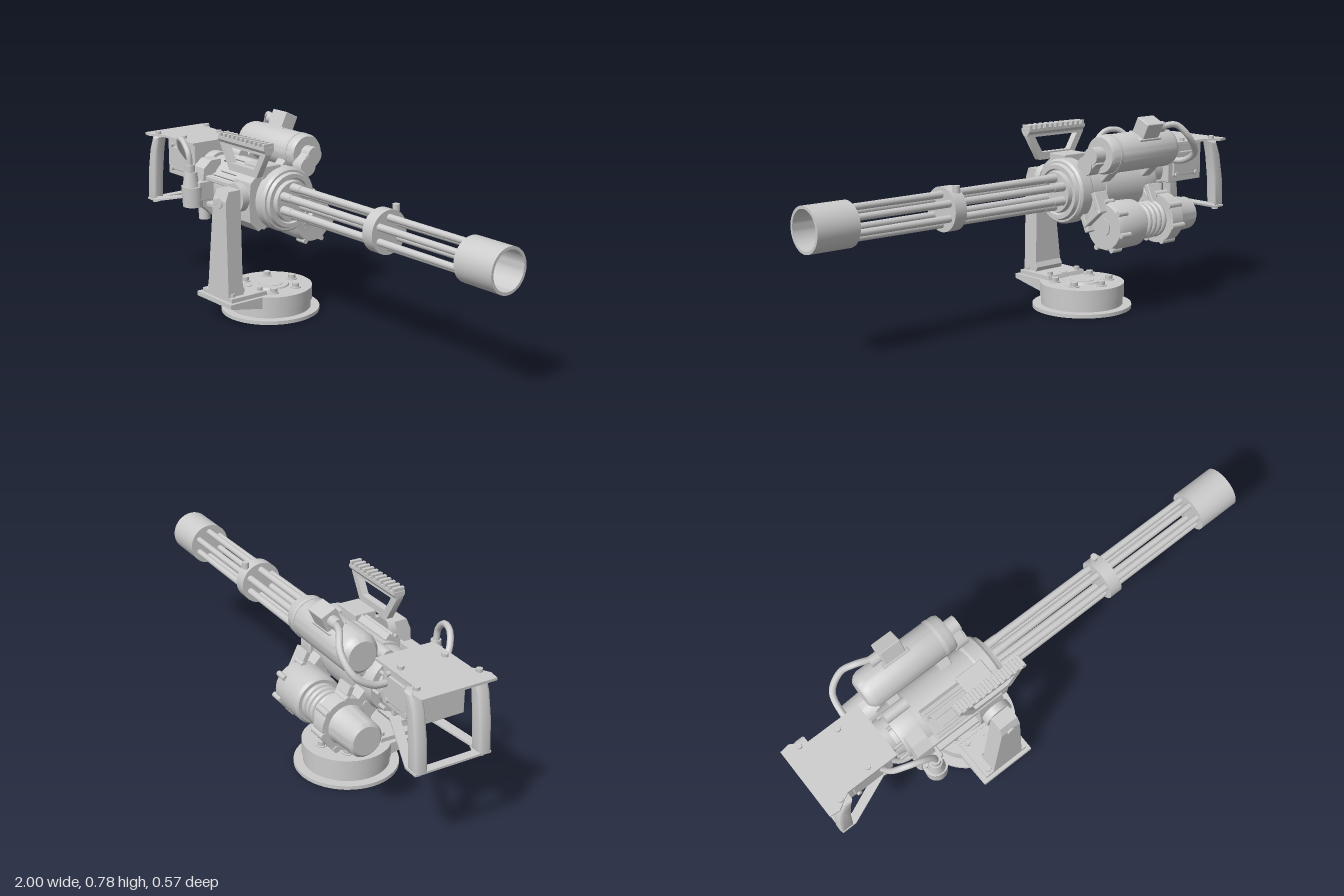
import * as THREE from 'three';
import { toCreasedNormals } from 'three/addons/utils/BufferGeometryUtils.js';
import { RoundedBoxGeometry } from 'three/addons/geometries/RoundedBoxGeometry.js';

const mat = new THREE.MeshStandardMaterial({ color: 0xcccccc, side: THREE.DoubleSide });
const AY = 0.489, AZ = 0.004; // barrel axis
const MX = -0.31; // pedestal centre

export function createModel() {
  const root = new THREE.Group();
  const group = (name) => {
    const g = new THREE.Group();
    g.name = name;
    root.add(g);
    return g;
  };
  const add = (parent, name, geo, x = 0, y = 0, z = 0) => {
    const m = new THREE.Mesh(geo, mat);
    m.name = name;
    m.position.set(x, y, z);
    parent.add(m);
    return m;
  };
  const box = (p, name, w, h, d, x, y, z, r = 0.004) =>
    add(p, name, new RoundedBoxGeometry(w, h, d, 1, r), x, y, z);
  // cylinder along x from x0 to x1
  const cylX = (p, name, r0, r1, x0, x1, y, z, seg = 40) =>
    add(p, name, new THREE.CylinderGeometry(r1, r0, x1 - x0, seg).rotateZ(-Math.PI / 2), (x0 + x1) / 2, y, z);
  const cylY = (p, name, r0, r1, y0, y1, x, z, seg = 40) =>
    add(p, name, new THREE.CylinderGeometry(r1, r0, y1 - y0, seg), x, (y0 + y1) / 2, z);
  const cylZ = (p, name, r, z0, z1, x, y, seg = 32) =>
    add(p, name, new THREE.CylinderGeometry(r, r, z1 - z0, seg).rotateX(Math.PI / 2), x, y, (z0 + z1) / 2);
  // lathe of [x, radius] points around an x axis
  const latheX = (p, name, pts, y, z) =>
    add(p, name, toCreasedNormals(new THREE.LatheGeometry(pts.map(([x, r]) => new THREE.Vector2(r, x)), 48).rotateZ(-Math.PI / 2), 0.6), 0, y, z);
  const shape = (pts) => new THREE.Shape(pts.map(([a, b]) => new THREE.Vector2(a, b)));
  const extrude = (s, depth, bevel = 0) => toCreasedNormals(new THREE.ExtrudeGeometry(s, {
    depth, curveSegments: 16, bevelEnabled: bevel > 0, bevelSize: bevel, bevelThickness: bevel, bevelOffset: -bevel, bevelSegments: 3,
  }), 0.6);
  // [z, y] profile extruded from x0 to x1
  const slabX = (p, name, pts, x0, x1) =>
    add(p, name, extrude(shape(pts.map(([z, y]) => [-z, y])), x1 - x0).rotateY(Math.PI / 2), x0);
  const tube = (p, name, pts, r) =>
    add(p, name, new THREE.TubeGeometry(new THREE.CatmullRomCurve3(pts.map((q) => new THREE.Vector3(...q))), 40, r, 10));
  const ring = (n, r, fn, start = 0) => {
    for (let i = 0; i < n; i++) {
      const a = start + (i / n) * Math.PI * 2;
      fn(Math.cos(a) * r, Math.sin(a) * r, a);
    }
  };

  // Pedestal
  const base = group('pedestal');
  cylY(base, 'baseDisc', 0.202, 0.202, 0, 0.015, MX, 0.005, 64);
  cylY(base, 'baseDrum', 0.166, 0.166, 0.015, 0.05, MX, 0.005, 64);
  cylY(base, 'turntable', 0.172, 0.172, 0.05, 0.105, MX, 0.005, 64);
  cylY(base, 'turntableHub', 0.078, 0.075, 0.105, 0.112, MX, 0.005);
  cylY(base, 'turntableCap', 0.05, 0.05, 0.112, 0.114, MX, 0.005);
  ring(6, 0.112, (x, z) => {
    cylY(base, 'boltWasher', 0.022, 0.022, 0.105, 0.109, MX + x, 0.005 + z, 20);
    cylY(base, 'bolt', 0.016, 0.016, 0.109, 0.125, MX + x, 0.005 + z, 6);
  }, Math.PI / 6);
  slabX(base, 'footBracket', [[0.285, 0.105], [0.285, 0.086], [0.125, 0.056], [0.05, 0.056], [0.05, 0.105]], -0.43, -0.195);

  // Support arm, narrowing toward the top
  const arm = group('supportArm');
  slabX(arm, 'armFlange', [[0.27, 0.105], [0.27, 0.122], [0.1, 0.122], [0.095, 0.105]], -0.41, -0.21);
  for (const x of [-0.385, -0.235]) for (const z of [0.25, 0.115]) cylY(arm, 'flangeBolt', 0.012, 0.012, 0.12, 0.136, x, z, 6);
  const armGeo = extrude(shape([[-0.2, 0.12], [-0.19, 0.14], [-0.2, 0.16], [-0.2, 0.55], [-0.255, 0.55], [-0.27, 0.51], [-0.27, 0.12]]), 2)
    .rotateY(Math.PI / 2);
  const ap = armGeo.attributes.position;
  for (let i = 0; i < ap.count; i++) {
    const t = (ap.getY(i) - 0.12) / 0.43;
    ap.setX(i, -0.303 + 0.023 * t + (ap.getX(i) - 1) * (0.071 - 0.031 * t));
  }
  armGeo.computeVertexNormals();
  add(arm, 'armColumn', armGeo);
  cylZ(arm, 'pivotDisc', 0.058, 0.17, 0.2, -0.28, 0.51);
  cylZ(arm, 'pivotPin', 0.022, 0.268, 0.276, -0.28, 0.5, 6);

  // Receiver
  const body = group('receiver');
  latheX(body, 'receiverBody', [[-0.66, 0], [-0.66, 0.075], [-0.63, 0.08], [-0.63, 0.105], [-0.6, 0.112], [-0.54, 0.112], [-0.54, 0.118],
    [-0.33, 0.118], [-0.33, 0.112], [-0.24, 0.112], [-0.24, 0]], AY, AZ);
  latheX(body, 'frontCollar', [[-0.25, 0], [-0.25, 0.122], [-0.24, 0.13], [-0.19, 0.13], [-0.18, 0.122], [-0.18, 0.114], [-0.165, 0.108],
    [-0.165, 0.092], [-0.175, 0.088], [-0.175, 0]], AY, AZ);
  for (const [x0, x1] of [[-0.34, -0.23], [-0.62, -0.55]])
    slabX(body, 'sideBracket', [[0.07, 0.6], [0.12, 0.6], [0.155, 0.57], [0.165, 0.5], [0.16, 0.41], [0.12, 0.37], [0.07, 0.39]], x0, x1);
  for (const y of [0.42, 0.53]) box(body, 'sideRail', 0.36, 0.02, 0.04, -0.43, y, 0.128);
  const panel = new THREE.Group();
  panel.name = 'feedCover';
  panel.position.set(-0.42, AY, AZ);
  panel.rotation.x = 0.75;
  body.add(panel);
  box(panel, 'coverPlate', 0.2, 0.03, 0.13, 0, 0.115, 0);
  box(panel, 'coverRib', 0.13, 0.012, 0.04, 0, 0.133, 0.01);
  for (const z of [-0.045, 0.05]) box(panel, 'coverEdge', 0.19, 0.012, 0.012, 0, 0.133, z);
  for (const x of [-0.085, 0.085]) cylY(panel, 'coverBolt', 0.009, 0.009, 0.125, 0.142, x, -0.025, 6);
  box(body, 'topBlock', 0.12, 0.05, 0.09, -0.28, 0.605, 0.06);
  cylX(body, 'rearTopPod', 0.024, 0.024, -0.63, -0.53, 0.605, -0.03, 20);
  ring(8, 0.1, (y, z) => cylX(body, 'collarBolt', 0.008, 0.008, -0.665, -0.62, AY + y * 0.92, AZ + z * 0.92, 6));

  // Rotating barrel cluster
  const barrels = group('barrelCluster');
  cylX(barrels, 'barrelHub', 0.084, 0.08, -0.18, -0.155, AY, AZ);
  ring(6, 0.056, (y, z) => {
    cylX(barrels, 'barrelRear', 0.018, 0.017, -0.16, -0.1, AY + y, AZ + z, 20);
    cylX(barrels, 'barrel', 0.0155, 0.0125, -0.1, 0.85, AY + y, AZ + z, 20);
    cylX(barrels, 'barrelNut', 0.0145, 0.0145, 0.845, 0.865, AY + y, AZ + z, 6);
  });
  const disc = (name, x0, x1, r) => cylX(barrels, name, r, r, x0, x1, AY, AZ, 48);
  disc('clampRing', 0.357, 0.41, 0.085);
  cylY(barrels, 'clampStud', 0.014, 0.014, 0.555, 0.582, 0.383, -0.052, 12);
  latheX(barrels, 'muzzleShroud', [[0.825, 0], [0.825, 0.085], [1, 0.085], [1, 0.074], [0.85, 0.074], [0.85, 0]], AY, AZ);

  // Accessory rail on an open trapezoid frame
  const rail = group('accessoryRail');
  const frame = shape([[-0.43, 0.715], [-0.43, 0.7], [-0.37, 0.6], [-0.19, 0.6], [-0.13, 0.7], [-0.13, 0.715]]);
  frame.holes.push(new THREE.Path([[-0.395, 0.695], [-0.165, 0.695], [-0.205, 0.63], [-0.355, 0.63]].map((q) => new THREE.Vector2(...q))));
  add(rail, 'railFrame', extrude(frame, 0.028), 0, 0, 0.13);
  slabX(rail, 'railBar', [[0.134, 0.7], [0.12, 0.718], [0.12, 0.73], [0.167, 0.73], [0.167, 0.718], [0.154, 0.7]], -0.43, -0.125);
  for (let i = 0; i < 11; i++) box(rail, 'railTooth', 0.014, 0.018, 0.047, -0.42 + i * 0.0285, 0.736, 0.1435, 0.002);

  // Upper motor
  const upper = group('upperMotor');
  const UY = 0.643, UZ = -0.147;
  latheX(upper, 'motorCan', [[-0.645, 0], [-0.645, 0.055], [-0.63, 0.07], [-0.61, 0.077], [-0.27, 0.077], [-0.255, 0.07], [-0.255, 0]], UY, UZ);
  cylX(upper, 'motorBand', 0.079, 0.079, -0.31, -0.295, UY, UZ);
  for (const [r, y, z] of [[0.034, 0.643, -0.147], [0.038, 0.6, -0.112]]) cylX(upper, 'gearBoss', r, r, -0.26, -0.205, y, z, 28);
  box(upper, 'gearLink', 0.045, 0.07, 0.06, -0.232, 0.62, -0.13).rotation.x = 0.7;
  for (const x of [-0.56, -0.33]) box(upper, 'motorSaddle', 0.05, 0.09, 0.07, x, 0.58, -0.1).rotation.x = 0.75;
  const plug = new THREE.Group();
  plug.name = 'motorPlug';
  plug.position.set(-0.475, 0.735, -0.192);
  plug.rotation.x = -0.45;
  upper.add(plug);
  box(plug, 'plugBox', 0.09, 0.075, 0.066, 0, 0, 0);
  box(plug, 'plugBase', 0.12, 0.014, 0.075, 0, -0.034, 0);
  cylX(plug, 'plugNut', 0.022, 0.022, -0.085, -0.04, 0, 0, 12);
  tube(upper, 'motorCable', [[-0.54, 0.735, -0.195], [-0.61, 0.74, -0.22], [-0.66, 0.69, -0.245], [-0.72, 0.62, -0.225], [-0.735, 0.58, -0.16], [-0.73, 0.57, -0.09]], 0.013);

  // Lower drive motor with cooling rings
  const lower = group('driveMotor');
  const LY = 0.363, LZ = -0.177;
  latheX(lower, 'gearbox', [[-0.41, 0], [-0.41, 0.085], [-0.4, 0.094], [-0.27, 0.098], [-0.25, 0.09], [-0.25, 0.036], [-0.245, 0.036], [-0.245, 0]], LY, LZ);
  cylX(lower, 'motorCore', 0.058, 0.058, -0.55, -0.4, LY, LZ);
  for (let i = 0; i < 5; i++)
    add(lower, 'coolingRing', new THREE.TorusGeometry(0.064, 0.011, 10, 40).rotateY(Math.PI / 2), -0.525 + i * 0.027, LY, LZ);
  cylX(lower, 'motorFlange', 0.1, 0.1, -0.6, -0.54, LY, LZ);
  latheX(lower, 'rearMotor', [[-0.73, 0], [-0.73, 0.055], [-0.72, 0.066], [-0.61, 0.072], [-0.59, 0.08], [-0.59, 0]], LY, LZ);
  ring(7, 0.097, (y, z) => {
    cylX(lower, 'flangeLug', 0.013, 0.013, -0.605, -0.535, LY + y, LZ + z, 14);
    cylX(lower, 'gearboxLug', 0.011, 0.011, -0.3, -0.25, LY + y, LZ + z, 14);
  });
  // Clamps joining motor and receiver
  for (const x of [-0.27, -0.57]) {
    box(lower, 'motorYoke', 0.06, 0.11, 0.1, x, 0.425, -0.09).rotation.x = 0.75;
    for (const [y, z] of [[0.46, -0.165], [0.375, -0.1]])
      box(lower, 'yokeClamp', 0.07, 0.085, 0.022, x + 0.02, y, z).rotation.x = 0.45;
  }
  box(lower, 'yokeBar', 0.03, 0.018, 0.11, -0.225, 0.395, -0.145).rotation.x = 0.7;

  // Rear control housing and twin grips
  const rear = group('controlHousing');
  box(rear, 'housing', 0.2, 0.16, 0.2, -0.8, 0.56, 0);
  cylX(rear, 'housingNeck', 0.07, 0.07, -0.71, -0.65, 0.53, 0);
  const plan = [[-1, 0.15], [-0.96, 0.155], [-0.9, 0.12], [-0.68, 0.12], [-0.68, -0.12], [-0.9, -0.12], [-0.96, -0.155], [-1, -0.15]];
  add(rear, 'topPlate', extrude(shape(plan), 0.01).rotateX(-Math.PI / 2), 0, 0.638, 0);
  const strap = shape([[-0.99, 0.155], [-0.93, 0.155], [-0.7, 0.07], [-0.7, -0.07], [-0.93, -0.155], [-0.99, -0.155]]);
  strap.holes.push(new THREE.Path([[-0.955, 0.1], [-0.92, 0.115], [-0.74, 0.045], [-0.74, -0.045], [-0.92, -0.115], [-0.955, -0.1]].map((q) => new THREE.Vector2(...q))));
  const strapGeo = extrude(strap, 0.008).rotateX(-Math.PI / 2);
  const sp = strapGeo.attributes.position;
  for (let i = 0; i < sp.count; i++) sp.setY(i, sp.getY(i) + Math.max(0, sp.getX(i) + 0.93) * 0.25);
  add(rear, 'bottomStrap', strapGeo, 0, 0.354, 0);
  box(rear, 'strapPost', 0.012, 0.12, 0.12, -0.705, 0.46, 0);
  const grip = shape([[-0.94, 0.64], [-0.9, 0.64], [-0.915, 0.58], [-0.93, 0.48], [-0.938, 0.36], [-0.993, 0.36], [-0.985, 0.48], [-0.965, 0.58]]);
  for (const s of [-1, 1]) {
    add(rear, 'grip', extrude(grip, 0.026, 0.011), 0, 0, s * 0.13 - 0.013);
    cylY(rear, 'gripBolt', 0.012, 0.012, 0.645, 0.66, -0.935, s * 0.125, 8);
    cylY(rear, 'plateBolt', 0.012, 0.012, 0.645, 0.66, -0.79, s * 0.09, 8);
    cylY(rear, 'gripFoot', 0.014, 0.014, 0.343, 0.358, -0.965, s * 0.13, 8);
    for (const x of [-0.86, -0.74]) for (const y of [0.51, 0.61])
      cylZ(rear, 'housingBolt', 0.01, s * 0.105 - 0.01, s * 0.105 + 0.01, x, y, 8);
    box(rear, 'sidePanel', 0.15, 0.1, 0.012, -0.8, 0.555, s * 0.102);
  }

  // Side connector with its looping cable
  const conn = group('sideConnector');
  cylY(conn, 'connectorPod', 0.042, 0.047, 0.415, 0.5, -0.578, 0.195, 28);
  box(conn, 'connectorBlock', 0.08, 0.08, 0.07, -0.575, 0.48, 0.155);
  cylY(conn, 'connectorNeck', 0.034, 0.026, 0.5, 0.56, -0.578, 0.203, 20);
  cylY(conn, 'connectorNut', 0.02, 0.02, 0.56, 0.59, -0.578, 0.205, 8);
  tube(conn, 'connectorCable', [[-0.578, 0.58, 0.205], [-0.585, 0.635, 0.207], [-0.63, 0.675, 0.2], [-0.69, 0.675, 0.18], [-0.73, 0.63, 0.15], [-0.75, 0.57, 0.1]], 0.012);
  cylY(conn, 'lowerPod', 0.024, 0.024, 0.345, 0.44, -0.6, 0.125, 20);
  tube(conn, 'lowerHose', [[-0.6, 0.43, 0.1], [-0.66, 0.44, 0.09], [-0.7, 0.47, 0.07], [-0.75, 0.49, 0.06]], 0.012);
  return root;
}
